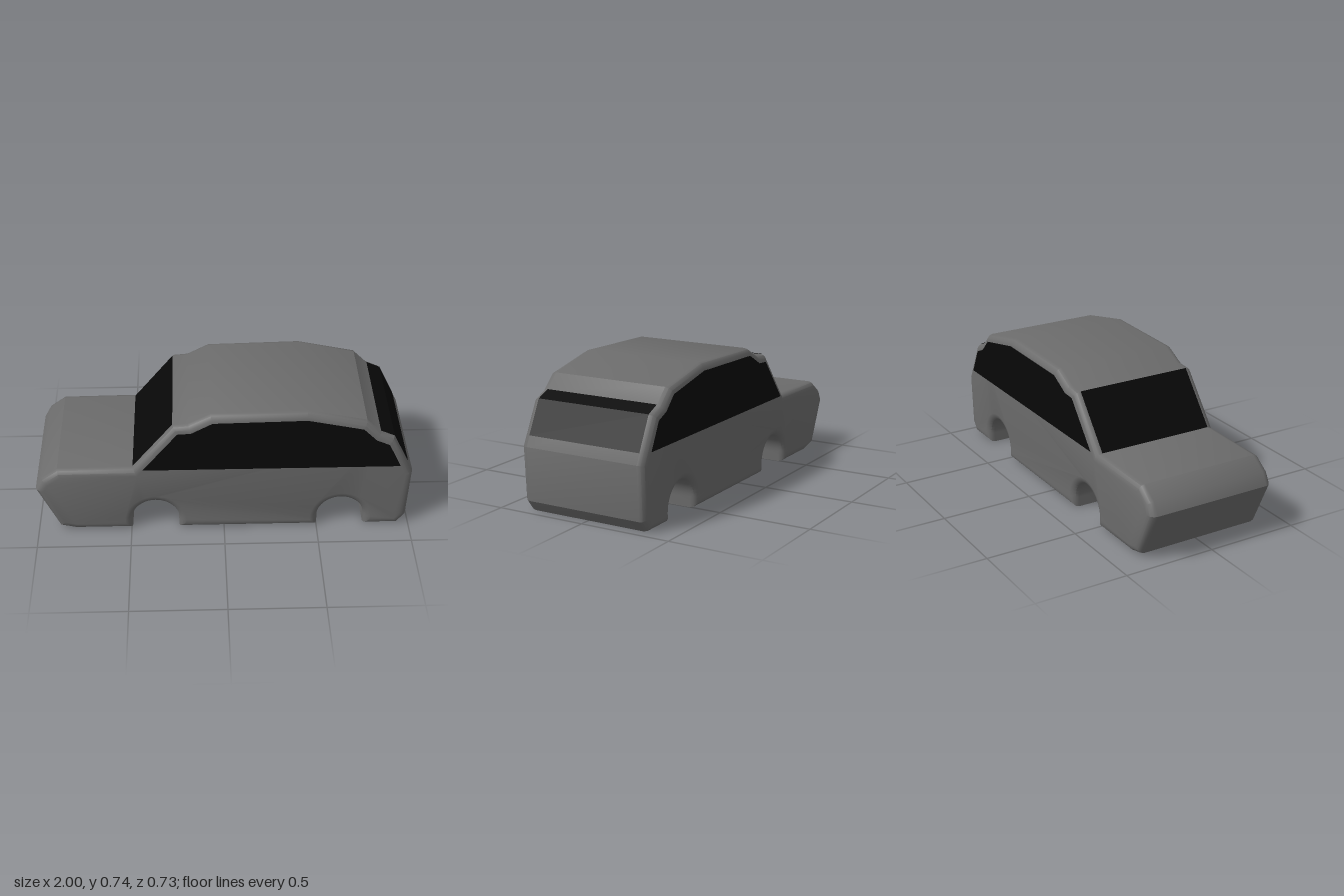
import * as THREE from 'three';
import { toCreasedNormals } from 'three/addons/utils/BufferGeometryUtils.js';

const HALF = 0.363, BEVEL = 0.04, BEVEL_Z = 0.038;
const GLASS_HALF = HALF - BEVEL_Z;

const toShape = pts => new THREE.Shape(pts.map(([x, y]) => new THREE.Vector2(x, y)));

// Wheel arch cut into the sill, walked from rear to front
function arch(cx, r = 0.125, cy = 0.055, steps = 20) {
  const pts = [[cx + r, 0]];
  for (let i = 0; i <= steps; i++) {
    const a = Math.PI * i / steps;
    pts.push([cx + r * Math.cos(a), cy + r * Math.sin(a)]);
  }
  pts.push([cx - r, 0]);
  return pts;
}

// Glass strip following a side profile across the width of the car
function strip(profile) {
  const g = new THREE.PlaneGeometry(1, 1, 1, profile.length - 1);
  const p = g.attributes.position;
  profile.forEach(([x, y], i) => {
    p.setXYZ(2 * i, x, y, GLASS_HALF);
    p.setXYZ(2 * i + 1, x, y, -GLASS_HALF);
  });
  return toCreasedNormals(g, 0.3);
}

export function createModel() {
  const car = new THREE.Group();
  car.name = 'car';
  const paint = new THREE.MeshStandardMaterial({ color: 0x6c6c6c });
  const glass = new THREE.MeshStandardMaterial({ color: 0x080808, side: THREE.DoubleSide });
  const add = (name, geometry, material) => {
    const mesh = new THREE.Mesh(geometry, material);
    mesh.name = name;
    car.add(mesh);
    return mesh;
  };

  // Body shell: side outline extruded across the width with rounded edges
  const outline = [
    [-0.885, 0.02], [-1, 0.27], [-0.965, 0.335], [-0.88, 0.395], [-0.48, 0.4],
    [-0.265, 0.665], [-0.185, 0.672], [-0.07, 0.732], [0.43, 0.743], [0.74, 0.677],
    [0.815, 0.603], [0.888, 0.57], [1, 0.345], [0.985, 0.06], [0.94, 0],
    ...arch(0.628), ...arch(-0.368), [-0.8, 0],
  ];
  const depth = 2 * GLASS_HALF;
  const body = new THREE.ExtrudeGeometry(toShape(outline), {
    depth, bevelEnabled: true, bevelSize: BEVEL, bevelOffset: -BEVEL,
    bevelThickness: BEVEL_Z, bevelSegments: 3,
  });
  body.translate(0, 0, -depth / 2);
  add('body', toCreasedNormals(body, 0.55), paint);

  // Side windows, flush with the flanks
  const sideShape = toShape([
    [-0.43, 0.4], [-0.243, 0.63], [-0.172, 0.634], [-0.06, 0.695], [0.43, 0.704],
    [0.722, 0.642], [0.793, 0.57], [0.862, 0.54], [0.93, 0.4],
  ]);
  for (const s of [1, -1]) {
    const pane = add(s > 0 ? 'rightWindow' : 'leftWindow', new THREE.ShapeGeometry(sideShape), glass);
    pane.position.z = s * (HALF + 0.002);
  }

  // Windscreen and wrap-over rear window
  add('windscreen', strip([[-0.267, 0.667], [-0.482, 0.402]]), glass);
  add('rearWindow', strip([[0.816, 0.605], [0.89, 0.572], [0.975, 0.4]]), glass);

  return car;
}
